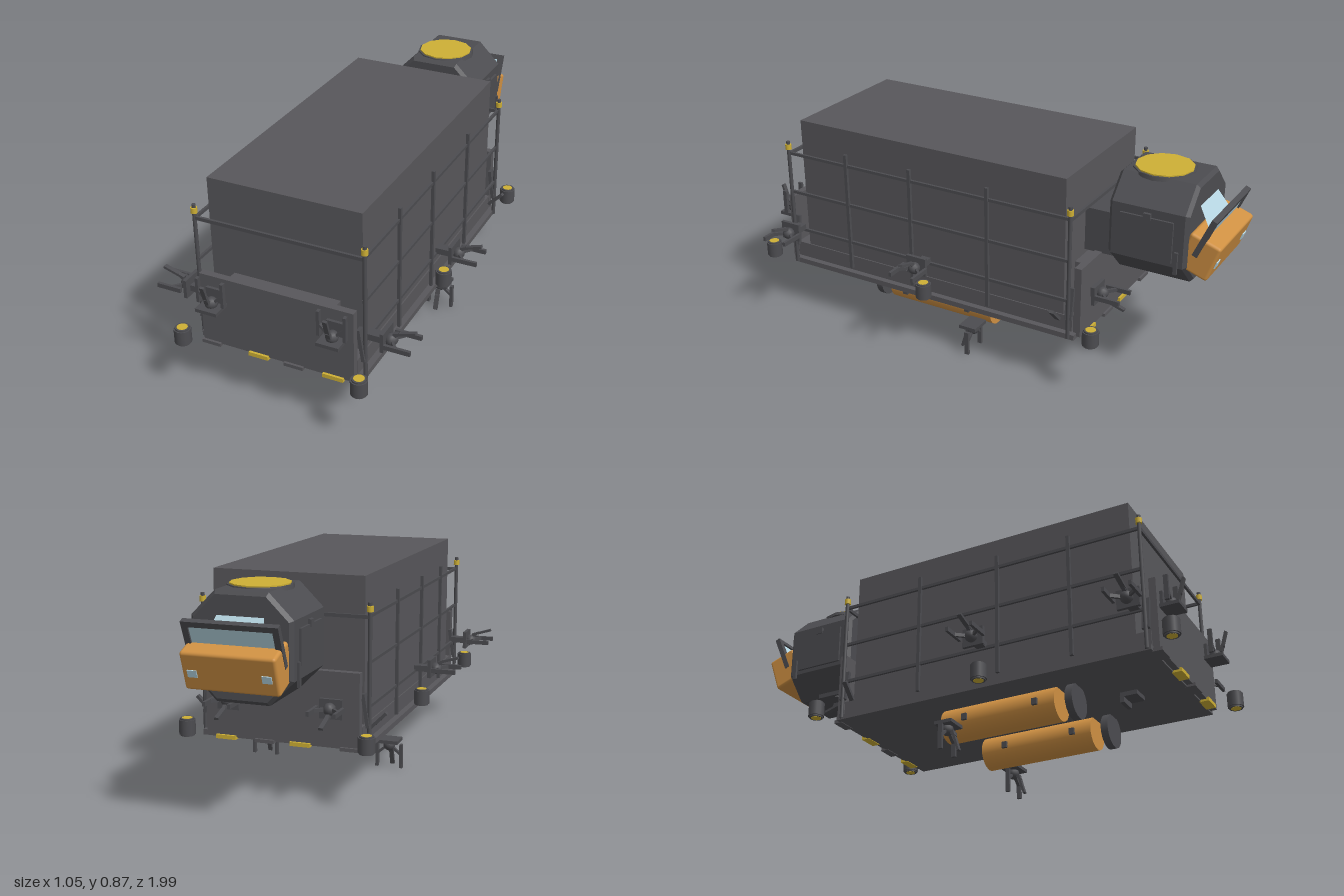
import * as THREE from 'three';
import { RoundedBoxGeometry } from 'three/addons/geometries/RoundedBoxGeometry.js';

const mat = (name, color) => {
  const m = new THREE.MeshStandardMaterial({ color });
  m.name = name;
  return m;
};

export function createModel() {
  const hullGrey = mat('hull grey', 0x58575b);
  const darkGrey = mat('dark fitting grey', 0x4c4c50);
  const yellow = mat('marking yellow', 0xceb035);
  const orange = mat('equipment orange', 0xd09143);
  const glass = mat('pale blue glass', 0xb8d8e4);
  const root = new THREE.Group();
  root.name = 'cargoModule';

  const add = (name, geo, m, x, y, z, parent = root) => {
    const mesh = new THREE.Mesh(geo, m);
    mesh.name = name;
    mesh.position.set(x, y, z);
    parent.add(mesh);
    return mesh;
  };
  // Box given by its limits on each axis
  const span = (name, m, x0, x1, y0, y1, z0, z1, parent = root) =>
    add(name, new THREE.BoxGeometry(x1 - x0, y1 - y0, z1 - z0), m,
      (x0 + x1) / 2, (y0 + y1) / 2, (z0 + z1) / 2, parent);
  // Square bar between two points
  const bar = (name, m, a, b, w, d, parent = root) => {
    const p = new THREE.Vector3(...a), q = new THREE.Vector3(...b);
    const mid = p.clone().add(q).multiplyScalar(0.5);
    const mesh = add(name, new THREE.BoxGeometry(w, p.distanceTo(q), d), m, mid.x, mid.y, mid.z, parent);
    mesh.quaternion.setFromUnitVectors(new THREE.Vector3(0, 1, 0), q.sub(p).normalize());
    return mesh;
  };

  // Container, floor and end walls
  span('container', hullGrey, -0.31, 0.31, 0.22, 0.87, -0.43, 0.81);
  span('floorBlock', hullGrey, -0.315, 0.315, 0.22, 0.3, -0.47, 0.87);
  span('basePlate', hullGrey, -0.34, 0.34, 0.213, 0.235, -0.49, 0.875);
  span('frontWall', hullGrey, -0.315, 0.315, 0.22, 0.515, 0.872, 0.9);
  span('rearWall', hullGrey, -0.315, 0.315, 0.22, 0.515, -0.505, -0.475);
  for (const z of [0.84, -0.45]) span('wallBrace', hullGrey, -0.22, 0.22, 0.3, 0.49, z - 0.04, z + 0.04);

  // Tabs along the bottom of both end walls
  for (const [z0, z1] of [[0.87, 0.91], [-0.515, -0.48]]) {
    for (const [x0, x1] of [[-0.118, -0.036], [0.19, 0.274]])
      span('yellowTab', yellow, x0, x1, 0.211, 0.227, z0, z1);
    for (const [x0, x1] of [[-0.32, -0.24], [0.03, 0.11]])
      span('greyTab', hullGrey, x0, x1, 0.211, 0.225, z0, z1);
  }

  // Guard rails on both sides and across the ends
  for (const s of [-1, 1]) {
    for (const y of [0.725, 0.55, 0.38])
      span('sideRail', darkGrey, s * 0.337 - 0.005, s * 0.337 + 0.005, y - 0.006, y + 0.006, -0.465, 0.865);
    for (const z of [0.565, 0.254, -0.104])
      span('railPost', darkGrey, s * 0.34 - 0.006, s * 0.34 + 0.006, 0.26, 0.775, z - 0.007, z + 0.007);
    for (const z of [0.86, -0.465]) {
      add('cornerPost', new THREE.CylinderGeometry(0.008, 0.008, 0.56, 10), darkGrey, s * 0.341, 0.498, z);
      add('postLamp', new THREE.CylinderGeometry(0.013, 0.013, 0.022, 10), yellow, s * 0.341, 0.754, z);
      bar('cornerGusset', darkGrey, [s * 0.318, 0.43, z], [s * 0.338, 0.3, z], 0.014, 0.03);
    }
    bar('sideStrut', darkGrey, [s * 0.335, 0.29, -0.42], [s * 0.395, 0.35, -0.42], 0.012, 0.02);
  }
  for (const z of [0.86, -0.465]) span('endRail', darkGrey, -0.34, 0.34, 0.716, 0.73, z - 0.005, z + 0.005);

  // Barrel thrusters with yellow end discs
  for (const s of [-1, 1]) for (const z of [0.965, 0.185, -0.575]) {
    add('thrusterBarrel', new THREE.CylinderGeometry(0.033, 0.033, 0.058, 14), darkGrey, s * 0.366, 0.266, z);
    for (const e of [-1, 1]) {
      add('thrusterLip', new THREE.CylinderGeometry(0.028, 0.028, 0.006, 14), darkGrey, s * 0.366, 0.266 + e * 0.032, z);
      add('thrusterDisc', new THREE.CylinderGeometry(0.021, 0.021, 0.004, 12), yellow, s * 0.366, 0.266 + e * 0.034, z);
    }
  }

  // Three-fingered gripper: 'out' is the reach direction, 'third' the side of the odd finger
  const gripper = (name, pos, out, third) => {
    const g = new THREE.Group();
    g.name = name;
    const y = new THREE.Vector3(...out), z = new THREE.Vector3(...third);
    g.quaternion.setFromRotationMatrix(new THREE.Matrix4().makeBasis(y.clone().cross(z), y, z));
    g.position.set(...pos);
    root.add(g);
    span('gripperPalm', darkGrey, -0.045, 0.045, 0, 0.014, -0.035, 0.042, g);
    add('gripperJoint', new THREE.SphereGeometry(0.025, 12, 8), darkGrey, 0, 0.026, 0, g);
    for (const s of [-1, 1]) {
      bar('fingerArm', darkGrey, [s * 0.015, 0.035, 0], [s * 0.05, 0.065, 0], 0.01, 0.014, g);
      span('finger', darkGrey, s * 0.052 - 0.006, s * 0.052 + 0.006, 0.02, 0.122, -0.009, 0.009, g);
    }
    bar('fingerArm', darkGrey, [0, 0.03, 0.01], [0, 0.062, 0.036], 0.014, 0.01, g);
    bar('slantedFinger', darkGrey, [0, 0.035, 0.025], [0, 0.122, 0.052], 0.018, 0.01, g);
  };
  for (const s of [-1, 1]) {
    gripper('lowerGripper', [s * 0.28, 0.122, 0], [0, -1, 0], [0, 0, 1]);
    gripper('frontGripper', [s * 0.248, 0.398, 0.935], [0, 1, 0], [0, 0, 1]);
    span('frontGripperMount', darkGrey, s * 0.248 - 0.035, s * 0.248 + 0.035, 0.4, 0.47, 0.9, 0.912);
    gripper('rearGripper', [s * 0.21, 0.38, -0.52], [0, 0, -1], [0, -1, 0]);
    span('rearGripperMount', darkGrey, s * 0.21 - 0.02, s * 0.21 + 0.02, 0.36, 0.4, -0.525, -0.5);
    for (const z of [0.825, 0.185]) {
      gripper('sideGripper', [s * 0.4, 0.395, z], [s, 0, 0], [0, 1, 0]);
      span('sideGripperMount', darkGrey, s * 0.37 - 0.035, s * 0.37 + 0.035, 0.38, 0.405, z - 0.02, z + 0.02);
    }
  }

  // Tanks under the floor, with straps and separate end discs
  for (const s of [-1, 1]) {
    const tank = add('tank', new THREE.CylinderGeometry(0.069, 0.069, 0.496, 24), orange, s * 0.17, 0.155, 0.192);
    tank.rotation.x = Math.PI / 2;
    const disc = add('tankEndDisc', new THREE.CylinderGeometry(0.071, 0.071, 0.03, 20), darkGrey, s * 0.17, 0.152, 0.5);
    disc.rotation.x = Math.PI / 2;
    for (const z of [0.36, 0.053])
      span('tankStrap', darkGrey, s * 0.17 - 0.079, s * 0.17 + 0.079, 0.142, 0.168, z - 0.011, z + 0.011);
  }
  span('underHook', darkGrey, -0.04, 0.04, 0.195, 0.215, 0.63, 0.7);
  span('underHookTip', darkGrey, -0.04, 0.04, 0.172, 0.2, 0.628, 0.645);

  // Cab: octagonal body with bevelled ends, on a short neck
  span('cabNeck', darkGrey, -0.14, 0.14, 0.51, 0.69, -0.6, -0.43);
  const b = 0.014, w = 0.195 - b, y0 = 0.46 + b, y1 = 0.862 - b, c = 0.085;
  const section = new THREE.Shape([[-w + c, y0], [w - c, y0], [w, y0 + c], [w, y1 - c],
    [w - c, y1], [-w + c, y1], [-w, y1 - c], [-w, y0 + c]].map(p => new THREE.Vector2(...p)));
  add('cabBody', new THREE.ExtrudeGeometry(section,
    { depth: 0.292, bevelSize: b, bevelThickness: b, bevelSegments: 1 }), darkGrey, 0, 0, -0.857);
  add('hatchRing', new THREE.CylinderGeometry(0.122, 0.126, 0.016, 12), darkGrey, 0, 0.858, -0.69);
  add('hatchCover', new THREE.CylinderGeometry(0.114, 0.114, 0.008, 12), yellow, 0, 0.867, -0.69);
  for (const s of [-1, 1]) {
    span('cabSidePanel', darkGrey, s * 0.198 - 0.006, s * 0.198 + 0.006, 0.57, 0.735, -0.815, -0.6);
    span('cabSideLatch', darkGrey, s * 0.2 - 0.008, s * 0.2 + 0.008, 0.725, 0.752, -0.725, -0.695);
    span('cabSideLever', darkGrey, s * 0.202 - 0.005, s * 0.202 + 0.005, 0.53, 0.62, -0.84, -0.825);
  }

  // Sloping cab window
  const slope = new THREE.BufferGeometry();
  slope.setAttribute('position', new THREE.Float32BufferAttribute([
    0.09, 0.775, -0.874, -0.09, 0.775, -0.874, -0.115, 0.69, -0.928, 0.115, 0.69, -0.928], 3));
  slope.setIndex([0, 2, 1, 0, 3, 2]);
  slope.computeVertexNormals();
  add('cabWindow', slope, glass, 0, 0, 0);

  // Orange nose box with small lamps
  const nose = new THREE.Group();
  nose.name = 'nose';
  nose.position.set(0, 0.61, -0.911);
  nose.rotation.x = -0.34;
  root.add(nose);
  add('noseBox', new RoundedBoxGeometry(0.36, 0.153, 0.13, 2, 0.012), orange, 0, 0, 0, nose);
  for (const s of [-1, 1]) span('noseLamp', glass, s * 0.14 - 0.018, s * 0.14 + 0.018, -0.02, 0.008, -0.069, -0.062, nose);

  // Glazed visor leaning outwards above the nose box
  const visor = new THREE.Group();
  visor.name = 'visor';
  visor.position.set(0, 0.69, -0.93);
  visor.rotation.x = -0.41;
  root.add(visor);
  for (const s of [-1, 1]) {
    span('visorSide', darkGrey, s * 0.17 - 0.012, s * 0.17 + 0.012, -0.085, 0.085, -0.011, 0.011, visor);
    span('visorBar', darkGrey, -0.17, 0.17, s * 0.074 - 0.011, s * 0.074 + 0.011, -0.011, 0.011, visor);
  }
  span('visorGlass', glass, -0.158, 0.158, -0.063, 0.063, -0.004, 0.004, visor);

  return root;
}
